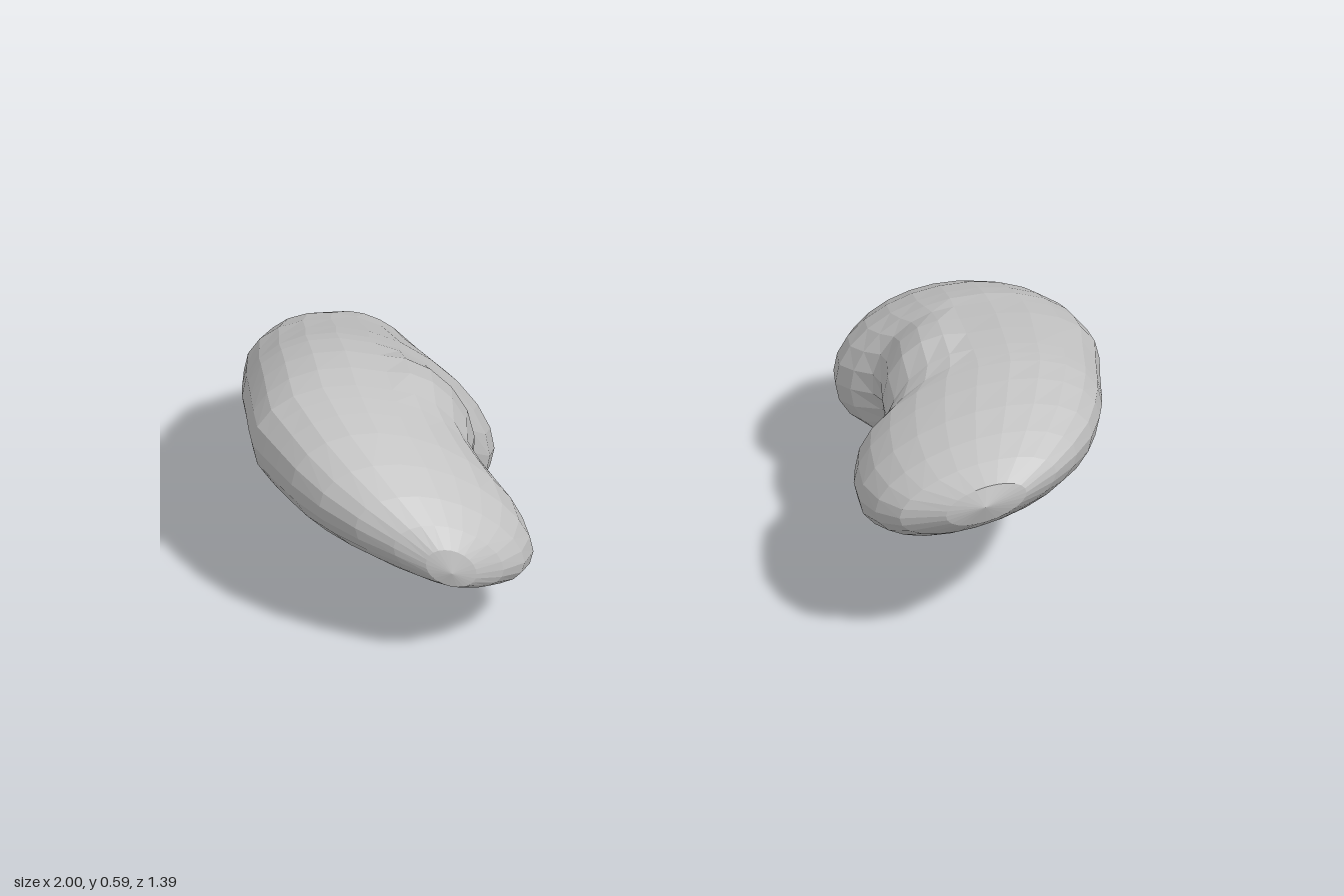
import * as THREE from 'three';

const SIDES = 24;

// Bean-shaped body lofted from tilted oval sections: [z, xMin, xMax, yMin, yMax].
// The sideways tilt runs from backSlope to frontSlope along z; dome droops both edges.
function beanGeometry(stations, { backSlope, frontSlope, dome, medial, hilumZ }) {
  const pos = [], index = [];
  const zBack = stations[0][0], zLength = stations[stations.length - 1][0] - zBack;
  stations.forEach(([z, x0, x1, y0, y1]) => {
    const slope = THREE.MathUtils.lerp(backSlope, frontSlope, (z - zBack) / zLength);
    // the ridge line stays put where the inner edge is pinched
    const cx = -medial * Math.min(Math.abs(x0 + x1) / 2, 0.67);
    const cy = (y0 + y1) / 2;
    const outer = medial > 0 ? cx - x0 : x1 - cx;
    const h = Math.sqrt(Math.max(0, ((y1 - y0) / 2) ** 2 - (slope * outer) ** 2));
    // notch strength fades away from the middle of the inner edge
    const t = Math.min(1, Math.abs(z - hilumZ) / 0.2);
    const fade = (1 - t * t) ** 2;
    for (let j = 0; j < SIDES; j++) {
      const a = (j / SIDES) * Math.PI * 2;
      const c = Math.cos(a), s = Math.sin(a);
      const dx = c * (c > 0 ? x1 - cx : cx - x0);
      const facing = Math.max(0, c * medial * 0.72 - s * 0.69);
      const dent = fade * facing ** 4;
      const brow = fade * Math.max(0, c * medial) * Math.max(0, s);
      pos.push(
        cx + dx - medial * 0.13 * dent,
        cy + slope * dx - dome * dx * dx + h * s + 0.06 * dent + 0.08 * brow,
        z
      );
    }
  });
  const last = stations.length - 2;
  for (let i = 0; i <= last; i++) {
    for (let j = 0; j < SIDES; j++) {
      const k = (j + 1) % SIDES;
      const a = i * SIDES + j, b = i * SIDES + k;
      const c = b + SIDES, d = a + SIDES;
      if (i > 0) index.push(a, b, i < last ? c : d);
      if (i < last) index.push(a, c, d);
    }
  }
  const geo = new THREE.BufferGeometry();
  geo.setAttribute('position', new THREE.Float32BufferAttribute(pos, 3));
  geo.setIndex(index);
  return facet(geo);
}

// Flat facets
function facet(geo) {
  const flat = geo.index ? geo.toNonIndexed() : geo;
  flat.computeVertexNormals();
  return flat;
}

const RIGHT = [
  [-0.697, -0.59, -0.59, 0.2, 0.2],
  [-0.685, -0.66, -0.535, 0.13, 0.27],
  [-0.64, -0.76, -0.48, 0.075, 0.33],
  [-0.56, -0.88, -0.425, 0.035, 0.385],
  [-0.46, -0.935, -0.38, 0.015, 0.43],
  [-0.37, -0.955, -0.36, 0.008, 0.465],
  [-0.29, -0.97, -0.385, 0.015, 0.495],
  [-0.24, -0.975, -0.425, 0.03, 0.51],
  [-0.15, -0.985, -0.43, 0.05, 0.53],
  [-0.06, -0.995, -0.45, 0.07, 0.54],
  [0.02, -1.0, -0.465, 0.085, 0.54],
  [0.07, -0.985, -0.445, 0.095, 0.535],
  [0.13, -0.965, -0.415, 0.108, 0.525],
  [0.2, -0.94, -0.385, 0.122, 0.51],
  [0.29, -0.89, -0.385, 0.145, 0.475],
  [0.37, -0.82, -0.42, 0.172, 0.43],
  [0.43, -0.74, -0.48, 0.2, 0.38],
  [0.465, -0.67, -0.55, 0.225, 0.33],
  [0.476, -0.61, -0.61, 0.27, 0.27]
];

const LEFT = [
  [-0.495, 0.67, 0.67, 0.25, 0.25],
  [-0.48, 0.6, 0.74, 0.195, 0.31],
  [-0.42, 0.51, 0.85, 0.15, 0.385],
  [-0.34, 0.455, 0.91, 0.136, 0.442],
  [-0.26, 0.42, 0.95, 0.136, 0.485],
  [-0.18, 0.41, 0.975, 0.14, 0.515],
  [-0.12, 0.435, 0.985, 0.147, 0.535],
  [-0.07, 0.47, 0.995, 0.15, 0.543],
  [0.01, 0.47, 1.0, 0.155, 0.558],
  [0.1, 0.455, 0.985, 0.165, 0.572],
  [0.19, 0.455, 0.972, 0.18, 0.583],
  [0.24, 0.425, 0.965, 0.19, 0.587],
  [0.28, 0.375, 0.958, 0.2, 0.589],
  [0.36, 0.358, 0.938, 0.222, 0.588],
  [0.46, 0.353, 0.903, 0.255, 0.58],
  [0.55, 0.375, 0.85, 0.3, 0.562],
  [0.62, 0.42, 0.79, 0.345, 0.535],
  [0.675, 0.52, 0.71, 0.395, 0.5],
  [0.693, 0.61, 0.61, 0.45, 0.45]
];

export function createModel() {
  const model = new THREE.Group();
  model.name = 'beanPair';
  const grey = new THREE.MeshStandardMaterial({ color: 0xc4c4c4 });
  grey.name = 'light grey';

  function addBean(name, stations, shape, core) {
    const bean = new THREE.Group();
    bean.name = name;
    const body = new THREE.Mesh(beanGeometry(stations, shape), grey);
    body.name = name + 'Body';
    // Small rough lump sitting inside the notch
    const lump = new THREE.Mesh(facet(new THREE.IcosahedronGeometry(1, 1)), grey);
    lump.name = name + 'NotchCore';
    lump.position.set(...core);
    lump.scale.set(0.08, 0.07, 0.14);
    lump.rotation.z = -shape.medial * 0.5;
    bean.add(body, lump);
    model.add(bean);
  }

  addBean('rightBean', RIGHT,
    { backSlope: -0.42, frontSlope: -0.33, dome: 0.4, medial: 1, hilumZ: -0.09 },
    [-0.58, 0.14, -0.11]);
  addBean('leftBean', LEFT,
    { backSlope: 0.1, frontSlope: 0.24, dome: 0, medial: -1, hilumZ: 0.07 },
    [0.58, 0.27, 0.07]);
  return model;
}
